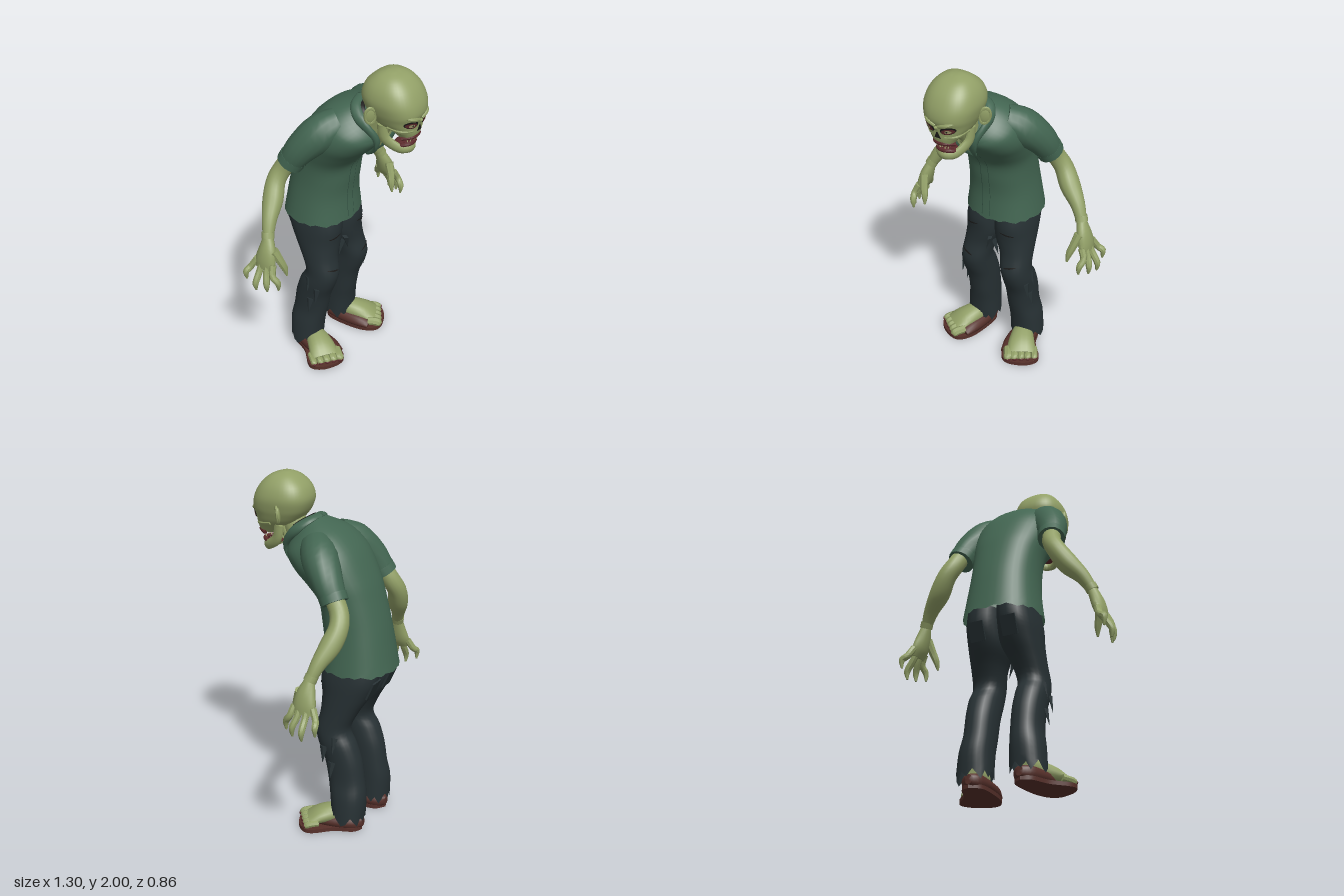
import * as THREE from 'three';
import { toCreasedNormals } from 'three/addons/utils/BufferGeometryUtils.js';

const V = (x, y, z) => new THREE.Vector3(x, y, z);
const paint = (name, color) => {
  const m = new THREE.MeshStandardMaterial({ color, side: THREE.DoubleSide });
  m.name = name;
  return m;
};

// Smoothly fill in rows of numbers between the given ones
function dense(rows, steps = 4) {
  const out = [], last = rows.length - 1;
  for (let i = 0; i < last; i++) {
    const [a, b, c, d] = [-1, 0, 1, 2].map(k => rows[Math.min(last, Math.max(0, i + k))]);
    for (let s = 0; s < steps; s++) {
      const t = s / steps;
      out.push(b.map((_, k) => b[k] + 0.5 * t * (c[k] - a[k] + t * (2 * a[k] - 5 * b[k] + 4 * c[k] - d[k]
        + t * (3 * (b[k] - c[k]) + d[k] - a[k])))));
    }
  }
  out.push(rows[last]);
  return out;
}

// Skin a list of frames { c, u, v } with closed, rounded sections
function loft(frames, n = 20, p = 2, jag = 0) {
  const pos = [], idx = [];
  const pw = t => Math.sign(t) * Math.pow(Math.abs(t), 2 / p);
  frames.forEach(({ c, u, v }, r) => {
    for (let i = 0; i < n; i++) {
      const a = i / n * Math.PI * 2;
      const q = c.clone().addScaledVector(u, pw(Math.cos(a))).addScaledVector(v, pw(Math.sin(a)));
      if (r === 0) q.y += jag * ((i * 7) % 5 - 2) / 2;
      pos.push(q.x, q.y, q.z);
      if (r < frames.length - 1) {
        const A = r * n + i, B = r * n + (i + 1) % n;
        idx.push(A, A + n, B, B, A + n, B + n);
      }
    }
  });
  const end = frames.length - 1, k = frames.length * n;
  [frames[0].c, frames[end].c].forEach(c => pos.push(c.x, c.y, c.z));
  for (let i = 0; i < n; i++) {
    const j = (i + 1) % n;
    if (!jag) idx.push(k, i, j);
    idx.push(k + 1, end * n + j, end * n + i);
  }
  const g = new THREE.BufferGeometry();
  g.setAttribute('position', new THREE.Float32BufferAttribute(pos, 3));
  g.setIndex(idx);
  return g;
}

// Body sections: [front z, front y, back z, back y, half width, centre x]
const body = (rows, n, p, jag) => loft(rows.map(([fz, fy, bz, by, w, x]) => ({
  c: V(x, (fy + by) / 2, (fz + bz) / 2), u: V(w, 0, 0), v: V(0, (fy - by) / 2, (fz - bz) / 2),
})), n, p, jag);

// Limb along points [x, y, z, radius across, radius deep]
function limb(pts, n = 12, ref = V(0, 0, -1), p = 2) {
  const rows = dense(pts.map(q => [q[0], q[1], q[2], q[3], q[4] ?? q[3]]));
  const at = i => V(...rows[Math.min(rows.length - 1, Math.max(0, i))].slice(0, 3));
  return loft(rows.map((q, i) => {
    const t = at(i + 1).sub(at(i - 1)).normalize();
    const u = ref.clone().cross(t).normalize();
    return { c: at(i), u: u.clone().multiplyScalar(q[3]), v: u.clone().cross(t).multiplyScalar(q[4]) };
  }), n, p);
}

// Front depth of a lofted body at (x, y)
function frontZ(rows, x, y, p) {
  let i = 0;
  while (i < rows.length - 2 && rows[i + 1][1] < y) i++;
  const t = Math.min(1, Math.max(0, (y - rows[i][1]) / (rows[i + 1][1] - rows[i][1])));
  const q = rows[i].map((a, k) => a + (rows[i + 1][k] - a) * t);
  const f = Math.pow(Math.max(0, 1 - Math.pow(Math.abs((x - q[5]) / q[4]), p)), 1 / p);
  return (q[0] + q[2]) / 2 + (q[0] - q[2]) / 2 * f;
}
function press(g, rows, p, lift) {
  const a = g.attributes.position;
  for (let i = 0; i < a.count; i++) a.setZ(i, frontZ(rows, a.getX(i), a.getY(i), p) + lift);
  return g;
}
const disc = (rows, p, x, y, rx, ry, turn = 0, lift = 0.005, sides = 16) =>
  press(new THREE.RingGeometry(0.001, 1, sides, 5).rotateZ(sides === 3 ? Math.PI / 2 : 0)
    .scale(rx, ry, 1).rotateZ(turn).translate(x, y, 0), rows, p, lift);
function strip(rows, p, x, y0, y1, w0, w1, lift) {
  const g = new THREE.PlaneGeometry(1, 1, 4, 24), a = g.attributes.position;
  for (let i = 0; i < a.count; i++) {
    const t = a.getY(i) + 0.5;
    a.setXY(i, x + a.getX(i) * (w0 + (w1 - w0) * t), y0 + (y1 - y0) * t);
  }
  return press(g, rows, p, lift);
}

export function createModel() {
  const root = new THREE.Group();
  const skin = paint('skin', 0x92a067), shirt = paint('shirt green', 0x436652), seam = paint('shirt seam', 0x2f4d3f),
    denim = paint('trousers', 0x273134), leather = paint('sandal brown', 0x56302a), lip = paint('lip red', 0x5c2a2c),
    dark = paint('hollow dark', 0x1c1b1a), tooth = paint('teeth', 0xa9a878), eye = paint('eye', 0x9a9468);

  function add(name, geo, mat, mirror = false) {
    const flat = geo.index ? geo.toNonIndexed() : geo;
    for (const side of mirror ? [1, -1] : [1]) {
      const src = flat.attributes.position, arr = [];
      for (let i = 0; i < src.count; i += 3)
        for (const k of side > 0 ? [0, 1, 2] : [0, 2, 1])
          arr.push(side * src.getX(i + k), src.getY(i + k), src.getZ(i + k));
      const g = new THREE.BufferGeometry();
      g.setAttribute('position', new THREE.Float32BufferAttribute(arr, 3));
      const mesh = new THREE.Mesh(toCreasedNormals(g, 0.75), mat);
      mesh.name = mirror ? (side > 0 ? 'left ' : 'right ') + name : name;
      root.add(mesh);
    }
  }

  // Hunched shirt
  const torso = dense([
    [-.02, .95, -.428, .955, .222, 0], [-.03, 1.1, -.402, 1.1, .203, 0], [-.015, 1.22, -.377, 1.22, .195, 0],
    [.005, 1.33, -.337, 1.36, .2, 0], [.075, 1.42, -.297, 1.47, .222, 0], [.135, 1.48, -.222, 1.61, .24, 0],
    [.185, 1.54, -.135, 1.7, .222, 0], [.2, 1.575, -.05, 1.745, .175, 0], [.2, 1.6, .04, 1.775, .11, 0]]);
  add('shirt', body(torso, 40, 2.3, .008), shirt);
  add('sleeve', limb([[.12, 1.64, -.01, .09], [.2, 1.595, -.075, .102], [.262, 1.505, -.15, .088], [.288, 1.415, -.207, .072]], 16), shirt, true);
  add('sleeve cuff', limb([[.281, 1.44, -.193, .079], [.291, 1.4, -.215, .077]], 16), shirt, true);
  add('chest', strip(torso, 2.3, 0, 1.44, 1.6, .004, .12, .005), skin);
  add('button seam', strip(torso, 2.3, -.03, .97, 1.42, .004, .004, .004), seam);
  add('button strip edge', strip(torso, 2.3, .02, .97, 1.44, .003, .003, .004), seam);
  add('lapel', limb([[.008, 1.43, .093, .008, .01], [.045, 1.52, .178, .03, .012], [.085, 1.61, .2, .02, .02],
    [.118, 1.7, .13, .015, .03], [.08, 1.755, .068, .015, .03], [0, 1.77, .045, .015, .03]], 12, V(.2, 0, -1)), shirt, true);
  add('collar lining', limb([[.098, 1.71, .14, .01, .025], [.07, 1.752, .09, .01, .025], [0, 1.768, .066, .01, .025]], 8, V(.2, 0, -1)), dark, true);

  // Neck with tendons
  add('neck', limb([[0, 1.54, .1, .075], [0, 1.63, .16, .068], [0, 1.76, .22, .072]], 16), skin);
  add('neck tendon', limb([[.02, 1.53, .18, .012], [.045, 1.62, .215, .014], [.07, 1.72, .24, .014]], 8), skin, true);

  // Skull
  const skull = dense([
    [.4, 1.65, .3, 1.65, .055, 0], [.41, 1.685, .25, 1.685, .078, 0], [.412, 1.72, .175, 1.72, .108, 0],
    [.418, 1.76, .135, 1.76, .126, 0], [.43, 1.8, .108, 1.8, .139, 0], [.42, 1.86, .092, 1.86, .147, 0],
    [.385, 1.925, .115, 1.925, .128, 0], [.33, 1.975, .17, 1.975, .085, 0], [.27, 1.997, .22, 1.997, .03, 0]]);
  const P = 2.5;
  add('skull', body(skull, 40, P), skin);
  add('eye socket', disc(skull, P, .058, 1.752, .042, .023, .28), dark, true);
  add('eye rim', disc(skull, P, .06, 1.748, .035, .016, .28, .007), lip, true);
  add('eyeball', disc(skull, P, .062, 1.748, .017, .01, .2, .009), eye, true);
  add('pupil', disc(skull, P, .058, 1.748, .004, .005, 0, .011), dark, true);
  add('brow', limb([[.01, 1.768, .422, .01], [.06, 1.787, .417, .013], [.105, 1.805, .375, .008]], 8, V(0, 1, 0)), skin, true);
  add('cheekbone', limb([[.035, 1.705, .402, .009], [.08, 1.708, .365, .015], [.106, 1.72, .29, .01]], 8, V(0, 1, 0)), skin, true);
  add('nose hole', disc(skull, P, 0, 1.712, .024, .03, 0, .006, 3), dark);
  add('nose bridge', limb([[0, 1.738, .415, .008], [0, 1.765, .423, .014]], 8), skin);

  // Ears
  add('ear', new THREE.SphereGeometry(1, 16, 12).scale(.034, .05, .014).rotateY(.6).rotateZ(-.15).translate(.153, 1.782, .212), skin, true);
  add('ear rim', new THREE.TorusGeometry(.034, .008, 8, 20).scale(.85, 1.35, 1).rotateY(.6).rotateZ(-.15).translate(.154, 1.783, .217), skin, true);

  // Open mouth
  add('jaw', limb([[-.09, 1.71, .245, .014, .028], [-.084, 1.63, .262, .016, .032], [-.052, 1.578, .335, .018, .028],
    [0, 1.572, .368, .02, .026], [.052, 1.578, .335, .018, .028], [.084, 1.63, .262, .016, .032], [.09, 1.71, .245, .014, .028]],
  10, V(0, 1, .3)), skin);
  const arc = (y, z, r, w) => limb([[-w, y - .012, z - .05, r], [-w * .6, y, z - .01, r], [0, y, z, r],
    [w * .6, y, z - .01, r], [w, y - .012, z - .05, r]], 8, V(0, 1, 0));
  add('upper lip', arc(1.66, .4, .012, .06), lip);
  add('lower lip', arc(1.607, .378, .012, .056), lip);
  add('mouth floor', new THREE.SphereGeometry(1, 16, 8).scale(.05, .012, .05).translate(0, 1.594, .325), lip);
  for (let i = -3; i <= 3; i++) {
    const z = -i * i * .003, cone = new THREE.ConeGeometry(.007, .022, 5);
    add('upper tooth', cone.clone().rotateX(Math.PI).translate(i * .015, 1.645, .4 + z), tooth);
    if (i % 3) add('lower tooth', cone.translate(i * .014, 1.62, .378 + z), tooth);
  }

  // Arms and hands
  add('arm', limb([[.285, 1.47, -.18, .052], [.305, 1.37, -.245, .052], [.348, 1.29, -.27, .054], [.405, 1.2, -.25, .058],
    [.475, 1.12, -.22, .042], [.52, 1.04, -.195, .03]], 16), skin, true);
  add('wrist band', limb([[.51, 1.065, -.203, .036], [.523, 1.035, -.194, .036]], 12), skin, true);
  add('palm', limb([[.52, 1.04, -.195, .028, .03], [.545, .97, -.185, .035, .055], [.563, .91, -.185, .032, .066],
    [.578, .865, -.185, .02, .058]], 14), skin, true);
  [[-.128, .58, .76, -.085], [-.165, .612, .745, -.14], [-.205, .628, .737, -.205], [-.24, .618, .775, -.28]].forEach(([z, x, y, tz], i) => {
    add('finger ' + (i + 1), limb([[.568, .905, z, .02], [.592, .85, (z * 2 + tz) / 3 - (i === 3 ? .015 : 0), .019],
      [x + .003, y + .05, tz, .018], [x, y, tz, .006]], 8), skin, true);
  });
  add('thumb', limb([[.538, .98, -.145, .028], [.52, .91, -.115, .023], [.505, .86, -.1, .019], [.499, .81, -.09, .006]], 8), skin, true);

  // Trousers with torn cuffs
  const leg = dense([[.075, .06, .255, -.145, -.33], [.2, .06, .243, -.13, -.335], [.3, .057, .224, -.11, -.32], [.42, .055, .224, -.085, -.3],
    [.52, .055, .228, -.045, -.265], [.6, .052, .222, -.03, -.225], [.7, .03, .215, -.05, -.265], [.8, -.012, .21, -.05, -.325],
    [.9, -.015, .205, -.04, -.37], [1.0, -.015, .19, -.055, -.375]]
    .map(([y, a, b, f, k]) => [f, y, k, y, (b - a) / 2, (a + b) / 2]));
  add('trouser leg', body(leg, 24, 2.3, .03), denim, true);
  add('thigh tear', disc(leg, 2.3, .12, .86, .045, .005, -.15), dark, true);
  add('knee tear', disc(leg, 2.3, .15, .64, .04, .005, .3), dark, true);
  [[.23, .46, -.11], [.232, .37, -.16], [.226, .52, -.17], [.03, .72, -.08]].forEach(([x, y, z], i) =>
    add('tatter', new THREE.ConeGeometry(.025, .1, 4).scale(.5, 1, 1).rotateX(Math.PI).rotateZ(.15 + i * .04).translate(x, y, z), denim, true));
  add('back pocket', new THREE.BoxGeometry(.09, .11, .01).rotateX(-.42).translate(.098, .86, -.352), denim, true);

  // Feet turned outward in worn sandals
  const up = V(0, 1, 0);
  const sole = new THREE.Shape();
  sole.moveTo(.15, -.322);
  sole.splineThru([[.205, -.29], [.25, -.19], [.33, -.1], [.34, -.045], [.29, .015], [.2, .05], [.14, .02], [.1, -.08], [.09, -.26], [.15, -.322]]
    .map(([x, z]) => new THREE.Vector2(x, z)));
  add('sole', new THREE.ExtrudeGeometry(sole, { depth: .022, bevelEnabled: false, curveSegments: 6 }).rotateX(Math.PI / 2).translate(0, .022, 0), leather, true);
  add('sandal upper', limb([[.148, .045, -.325, .02, .025], [.15, .045, -.28, .06, .042], [.165, .043, -.18, .08, .042],
    [.178, .04, -.08, .08, .038], [.19, .03, -.01, .068, .024]], 16, up, 2.6), leather, true);
  add('foot', limb([[.155, .09, -.26, .045, .05], [.172, .088, -.17, .062, .055], [.212, .072, -.09, .08, .046],
    [.25, .045, -.03, .088, .026]], 16, up), skin, true);
  for (let i = 0; i < 5; i++) {
    const a = i / 4, x = .2 + a * .128, z = .042 - a * .095, r = .026 - a * .007;
    add('toe ' + (i + 1), limb([[x - .04, .05, z - .06, r], [x - .012, .044, z - .02, r], [x, .035, z, r * .95],
      [x + .008, .028, z + .012, r * .4]], 8, up), skin, true);
    add('toenail', new THREE.SphereGeometry(1, 8, 6).scale(r * .7, r * .5, .011).rotateY(.6).translate(x + .006, .033, z + .007), lip, true);
  }
  return root;
}
